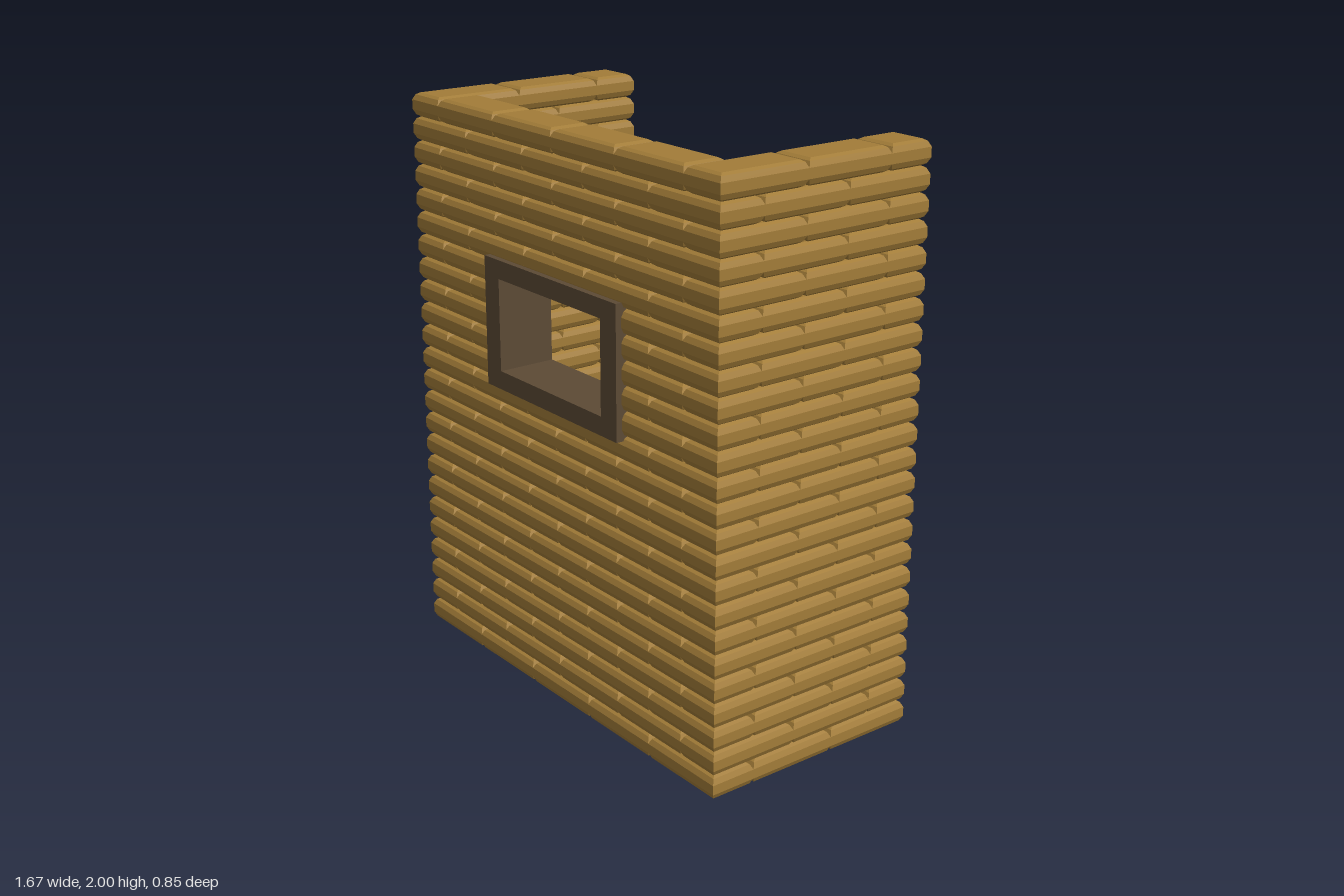
import * as THREE from 'three';

const L = 1 / 3;            // brick length
const T = L / 2;            // brick depth, also the half brick
const H = 2 / 24;           // course height
const FRONT = 0.406;        // outer face of the front wall
const HALF = 2.5 * L;       // half width of the wall

const brickMat = new THREE.MeshStandardMaterial({ color: 0xa27c38, flatShading: true });
const frameMat = new THREE.MeshStandardMaterial({ color: 0x5c4a35, flatShading: true });

// Brick whose sides bevel inwards towards its top and bottom
const levels = [[0, 0.021], [0.007, 0.009], [0.025, 0], [H - 0.025, 0], [H - 0.007, 0.009], [H, 0.021]];
function brickGeometry(w, d) {
  const g = new THREE.BoxGeometry(w, H, d, 1, levels.length - 1, 1).toNonIndexed();
  const p = g.attributes.position;
  for (let i = 0; i < p.count; i++) {
    const k = Math.round((p.getY(i) / H + 0.5) * (levels.length - 1));
    const [y, inset] = levels[k];
    p.setXYZ(i, Math.sign(p.getX(i)) * (w / 2 - inset), y, Math.sign(p.getZ(i)) * (d / 2 - inset));
  }
  g.computeVertexNormals();
  return g;
}

export function createModel() {
  const model = new THREE.Group();
  const alongX = brickGeometry(L, T);
  const alongZ = brickGeometry(T, L);
  const half = brickGeometry(T, T);

  const frontWall = new THREE.Group();
  frontWall.name = 'frontWall';
  const rightWall = new THREE.Group();
  rightWall.name = 'rightWall';
  const leftWall = new THREE.Group();
  leftWall.name = 'leftWall';
  model.add(frontWall, rightWall, leftWall);

  const lay = (wall, geometry, x, row, z) => {
    const brick = new THREE.Mesh(geometry, brickMat);
    brick.name = 'brick';
    brick.position.set(x, row * H, z);
    wall.add(brick);
  };

  const frontZ = FRONT - T / 2;
  for (let row = 0; row < 24; row++) {
    const even = row % 2 === 0;
    const windowRow = row >= 13 && row <= 17;

    // Front wall: five bricks on even courses, four between the side walls on odd ones
    const n = even ? 5 : 4;
    for (let i = 0; i < n; i++) {
      const x = (i - (n - 1) / 2) * L;
      if (windowRow && Math.abs(x) < 0.4) {
        // half bricks close the courses beside the window
        if (even && Math.abs(x) > 0.1) lay(frontWall, half, x + Math.sign(x) * T / 2, row, frontZ);
        continue;
      }
      lay(frontWall, alongX, x, row, frontZ);
    }

    // Side walls, bonded into the corners on odd courses
    for (const [wall, side] of [[rightWall, -1], [leftWall, 1]]) {
      const x = side * (HALF - T / 2);
      const start = even ? FRONT - T : FRONT;
      for (let i = 0; i < 2; i++) lay(wall, alongZ, x, row, start - (i + 0.5) * L);
      if (!even) lay(wall, half, x, row, start - 2 * L - T / 2);
    }
  }

  // Window frame running through the wall
  const rect = (path, w, y0, y1) =>
    path.moveTo(-w, y0).lineTo(w, y0).lineTo(w, y1).lineTo(-w, y1).closePath();
  const shape = rect(new THREE.Shape(), 0.367, 1.07, 1.522);
  shape.holes.push(rect(new THREE.Path(), 0.285, 1.135, 1.457));
  const depth = T + 0.042;
  const frame = new THREE.Mesh(
    new THREE.ExtrudeGeometry(shape, { depth, bevelEnabled: false }), frameMat);
  frame.name = 'windowFrame';
  frame.position.z = FRONT + 0.021 - depth;
  model.add(frame);

  return model;
}
